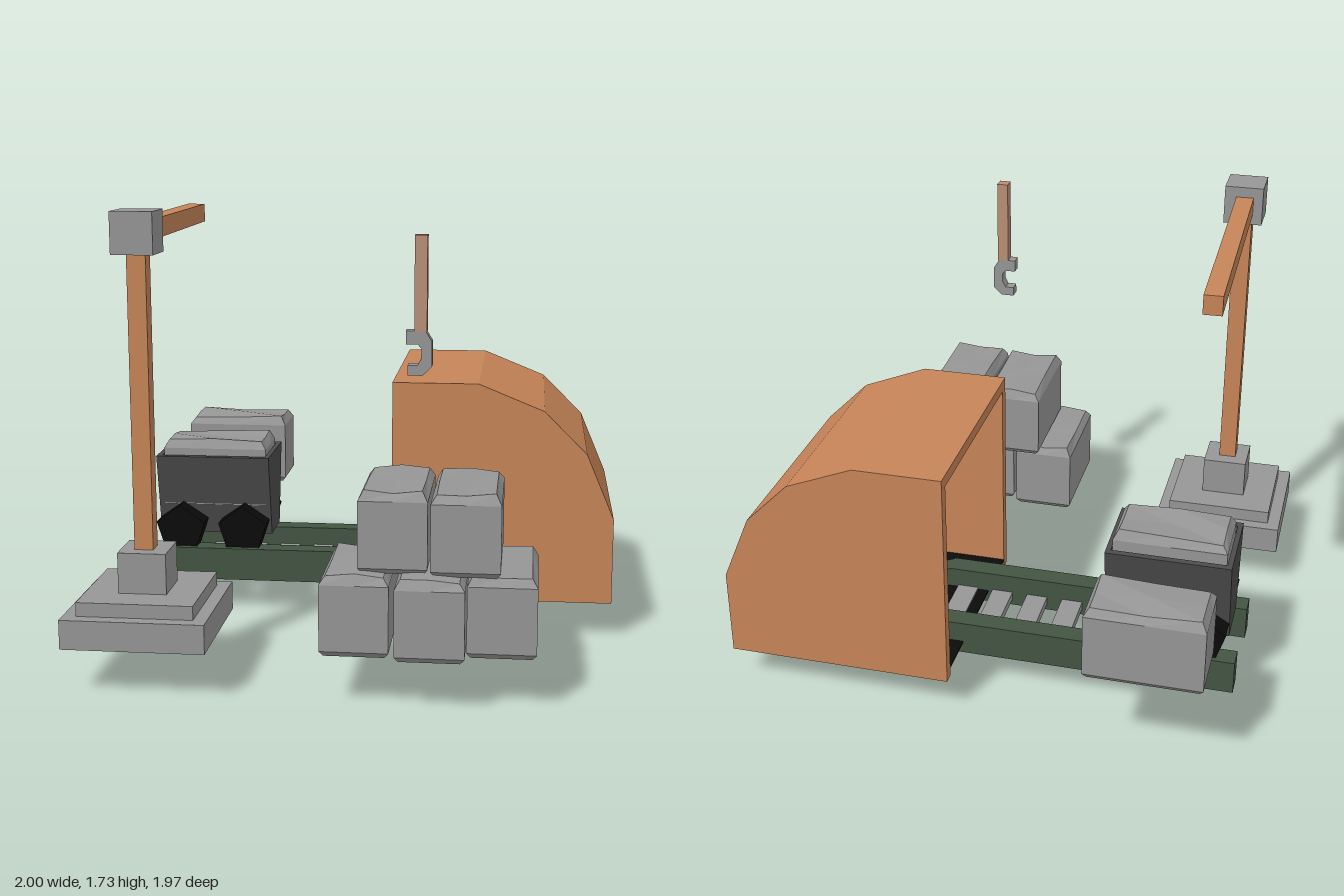
import * as THREE from 'three';

const mat = (name, color) => {
  const m = new THREE.MeshStandardMaterial({ color, flatShading: true, side: THREE.DoubleSide });
  m.name = name;
  return m;
};

export function createModel() {
  const root = new THREE.Group();
  const wood = mat('wood', 0xc68458), stone = mat('stone', 0x969696);
  const railGreen = mat('railGreen', 0x425442), iron = mat('darkIron', 0x4c4c4c);
  const black = mat('black', 0x0b0b0b), ropeMat = mat('rope', 0xb98f76);

  const add = (name, geo, material, parent = root) => {
    const g = geo.index ? geo.toNonIndexed() : geo;
    g.computeVertexNormals();
    const mesh = new THREE.Mesh(g, material);
    mesh.name = name;
    parent.add(mesh);
    return mesh;
  };
  // Box given by its lower and upper corners
  const box = (name, a, b, material, parent) => add(name,
    new THREE.BoxGeometry(b[0] - a[0], b[1] - a[1], b[2] - a[2])
      .translate((a[0] + b[0]) / 2, (a[1] + b[1]) / 2, (a[2] + b[2]) / 2), material, parent);
  // Outline in x and y, extruded from z0 to z1
  const slab = (name, pts, z0, z1, material, parent) => add(name,
    new THREE.ExtrudeGeometry(new THREE.Shape(pts.map(p => new THREE.Vector2(...p))),
      { depth: z1 - z0, bevelEnabled: false }).translate(0, 0, z0), material, parent);

  // Shed: quarter-arch shell open on its left end and underneath
  const shed = new THREE.Group();
  shed.name = 'shed';
  root.add(shed);
  const outer = [[1, 0.145], [1, 0.49], [0.89, 0.75], [0.72, 0.92], [0.46, 1.025], [0.12, 1.025]];
  const inner = [[0.12, 0.98], [0.45, 0.98], [0.695, 0.885], [0.852, 0.725], [0.955, 0.48], [0.955, 0.145]];
  slab('shedRoof', [...outer, ...inner], -0.745, 0.045, wood, shed);
  for (const z of [-0.79, 0.045]) slab('shedEndWall', [...outer, [0.12, 0.145]], z, z + 0.045, wood, shed);
  box('shedFloor', [0.12, 0.176, -0.745], [0.955, 0.182, 0.045], black, shed);

  // Track: two rails bending down at the end, with sleepers
  const track = new THREE.Group();
  track.name = 'track';
  root.add(track);
  const railShape = [[-0.945, 0.13], [0.28, 0.13], [0.6, 0], [0.6, 0.135], [0.28, 0.265], [-0.945, 0.265]];
  for (const z of [-0.57, -0.2]) slab('rail', railShape, z, z + 0.083, railGreen, track);
  for (let i = 0; i < 8; i++) {
    const x = -0.865 + i * 0.147;
    box('sleeper', [x, 0.155, -0.49], [x + 0.085, 0.19, -0.2], stone, track);
  }

  // Stone block: box with bevelled top and bottom and an uneven top
  const stoneBlock = (name, x, y, z, turned, seed) => {
    const g = new THREE.BoxGeometry(2, 3, 2, 2, 3, 2);
    const p = g.attributes.position;
    const heights = [0, 0.02, 0.262, 0.295], inset = [0.015, 0, 0, 0.02];
    for (let i = 0; i < p.count; i++) {
      const row = Math.round(p.getY(i) + 1.5), sx = Math.round(p.getX(i)), sz = Math.round(p.getZ(i));
      const dip = row === 3 ? 0.007 * Math.sin(sx * 2.3 + sz * 1.7 + seed) : 0;
      p.setXYZ(i, sx * (0.123 - inset[row]), heights[row] + dip, sz * (0.218 - inset[row]));
    }
    const m = add(name, g, stone);
    m.position.set(x, y, z);
    if (turned) m.rotation.y = Math.PI / 2;
  };
  [[0.0625, 0.19, 0.73], [0.33, 0.19, 0.765], [0.58, 0.19, 0.695], [0.193, 0.48, 0.67], [0.45, 0.48, 0.692]]
    .forEach((q, i) => stoneBlock('stackedBlock', ...q, false, i));
  stoneBlock('looseBlock', -0.6625, 0.41, -0.867, true, 2);
  stoneBlock('cartLoad', -0.6625, 0.41, -0.342, true, 4);

  // Cart: tub with sloping long sides, a solid floor and five-sided wheels
  const cart = new THREE.Group();
  cart.name = 'cart';
  root.add(cart);
  const zc = -0.347;
  const tub = [[-0.1, 0.3], [0.1, 0.3], [0.172, 0.645], [0.145, 0.645], [0.11, 0.48],
    [-0.11, 0.48], [-0.145, 0.645], [-0.172, 0.645]];
  const tubMesh = slab('cartTub', tub, -0.24, 0.24, iron, cart);
  tubMesh.rotation.y = Math.PI / 2;
  tubMesh.position.set(-0.665, 0, zc);
  const endShape = [[-0.1, 0.3], [0.1, 0.3], [0.172, 0.645], [-0.172, 0.645]];
  for (const s of [-1, 1]) {
    const end = slab('cartEnd', endShape, -0.01, 0.01, iron, cart);
    end.rotation.y = Math.PI / 2;
    end.position.set(-0.665 + s * 0.23, 0, zc);
    for (const x of [-0.8, -0.535]) {
      const wheel = add('wheel', new THREE.CylinderGeometry(0.108, 0.108, 0.09, 5)
        .rotateY(Math.PI).rotateX(Math.PI / 2), black, cart);
      wheel.position.set(x, 0.333, zc + s * 0.158);
    }
  }

  // Crane: hollow stepped foot, post, head and a slightly turned arm
  const crane = new THREE.Group();
  crane.name = 'crane';
  root.add(crane);
  const steps = [[0.265, 0.175], [0.265, 0.285], [0.215, 0.285], [0.215, 0.337], [0.09, 0.337], [0.09, 0.49], [0, 0.49]];
  const foot = add('craneFoot', new THREE.LatheGeometry(
    steps.map(([r, y]) => new THREE.Vector2(r * Math.SQRT2, y)), 4, Math.PI / 4), stone, crane);
  foot.position.set(-0.737, 0, 0.667);
  box('cranePost', [-0.775, 0.49, 0.637], [-0.705, 1.58, 0.705], wood, crane);
  box('craneHead', [-0.817, 1.577, 0.605], [-0.663, 1.73, 0.763], stone, crane);
  const arm = box('craneArm', [-0.035, -0.037, -1.06], [0.035, 0.037, 0], wood, crane);
  arm.position.set(-0.744, 1.652, 0.62);
  arm.rotation.y = 0.022;

  // Hanging rope and hook
  box('rope', [0.25, 1.31, 0.632], [0.295, 1.65, 0.68], ropeMat);
  slab('hook', [[0.22, 1.313], [0.22, 1.265], [0.262, 1.265], [0.275, 1.25], [0.275, 1.215], [0.262, 1.19],
    [0.227, 1.19], [0.227, 1.153], [0.28, 1.153], [0.313, 1.185], [0.313, 1.275], [0.29, 1.313]], 0.632, 0.68, stone);

  return root;
}
